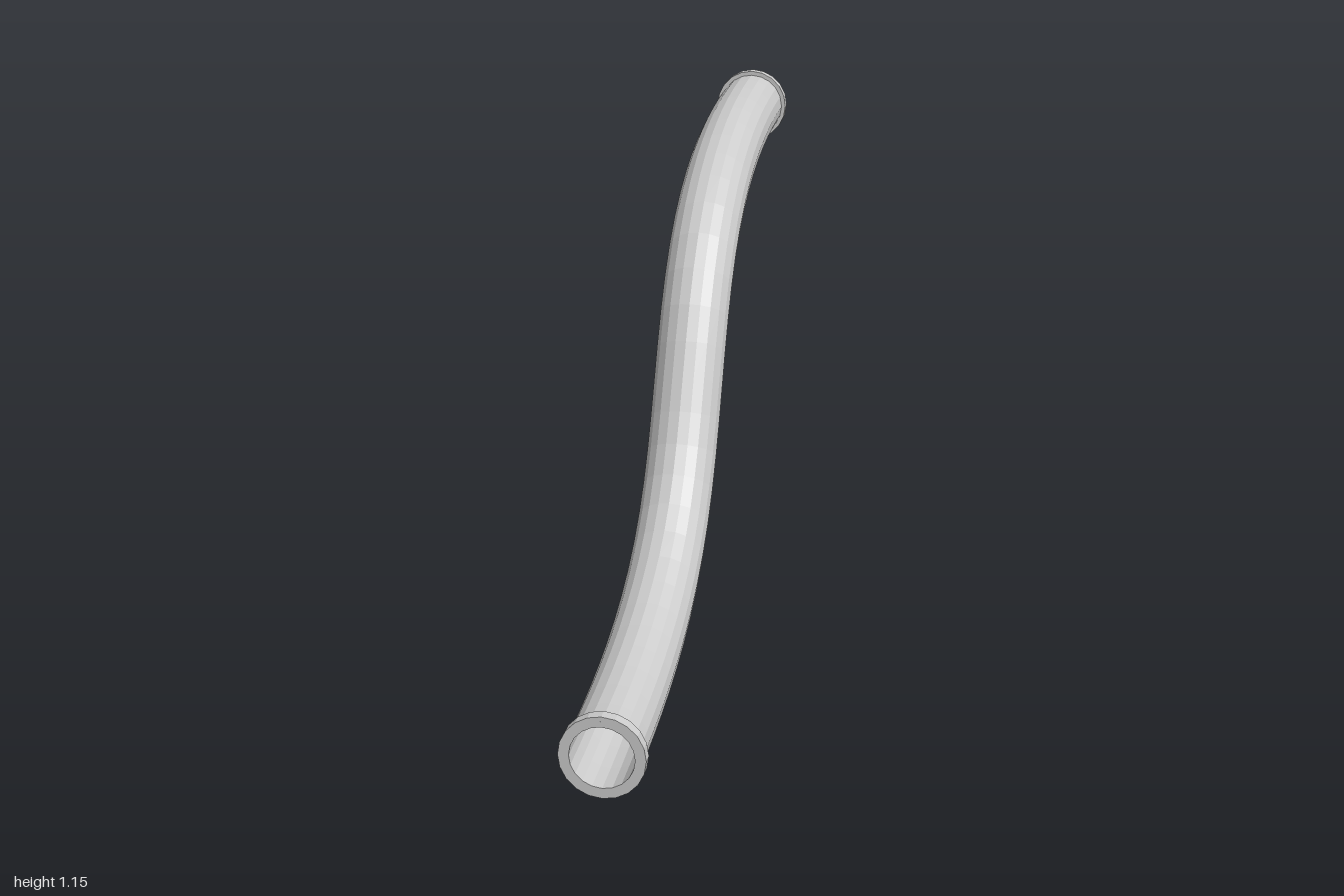
import * as THREE from 'three';

const SIDES = 20, STEPS = 28;
const BORE = 0.07, PIPE = 0.083, COLLAR = 0.0935, COLLAR_LENGTH = 0.027;
const LOW = 0.098, HIGH = 1.06;

export function createModel() {
  const group = new THREE.Group();
  const material = new THREE.MeshStandardMaterial({ color: 0xcccccc, flatShading: true });

  const add = (name, geometry) => {
    const mesh = new THREE.Mesh(geometry, material);
    mesh.name = name;
    group.add(mesh);
    return mesh;
  };

  // S-shaped centre line, level at both ends
  const path = new THREE.CubicBezierCurve3(
    new THREE.Vector3(0, LOW, 1),
    new THREE.Vector3(0, LOW, -0.48),
    new THREE.Vector3(0, HIGH, 0.48),
    new THREE.Vector3(0, HIGH, -1)
  );

  // Outer wall of the pipe
  add('pipeWall', new THREE.TubeGeometry(path, STEPS, PIPE, SIDES, false));

  // Hollow bore: the same sweep turned inside out
  const bore = new THREE.TubeGeometry(path, STEPS, BORE, SIDES, false);
  bore.setIndex(Array.from(bore.index.array).reverse());
  add('pipeBore', bore);

  // Raised collar with a flat rim at each open end
  const profile = [
    [PIPE - 0.003, 0], [COLLAR, 0], [COLLAR, COLLAR_LENGTH], [BORE, COLLAR_LENGTH],
  ].map(([r, y]) => new THREE.Vector2(r, y));
  for (const [name, side, y] of [['frontCollar', 1, LOW], ['backCollar', -1, HIGH]]) {
    const collar = add(name, new THREE.LatheGeometry(profile, SIDES));
    collar.rotation.x = side * Math.PI / 2;
    collar.position.set(0, y, side * (1 - COLLAR_LENGTH));
  }

  return group;
}
